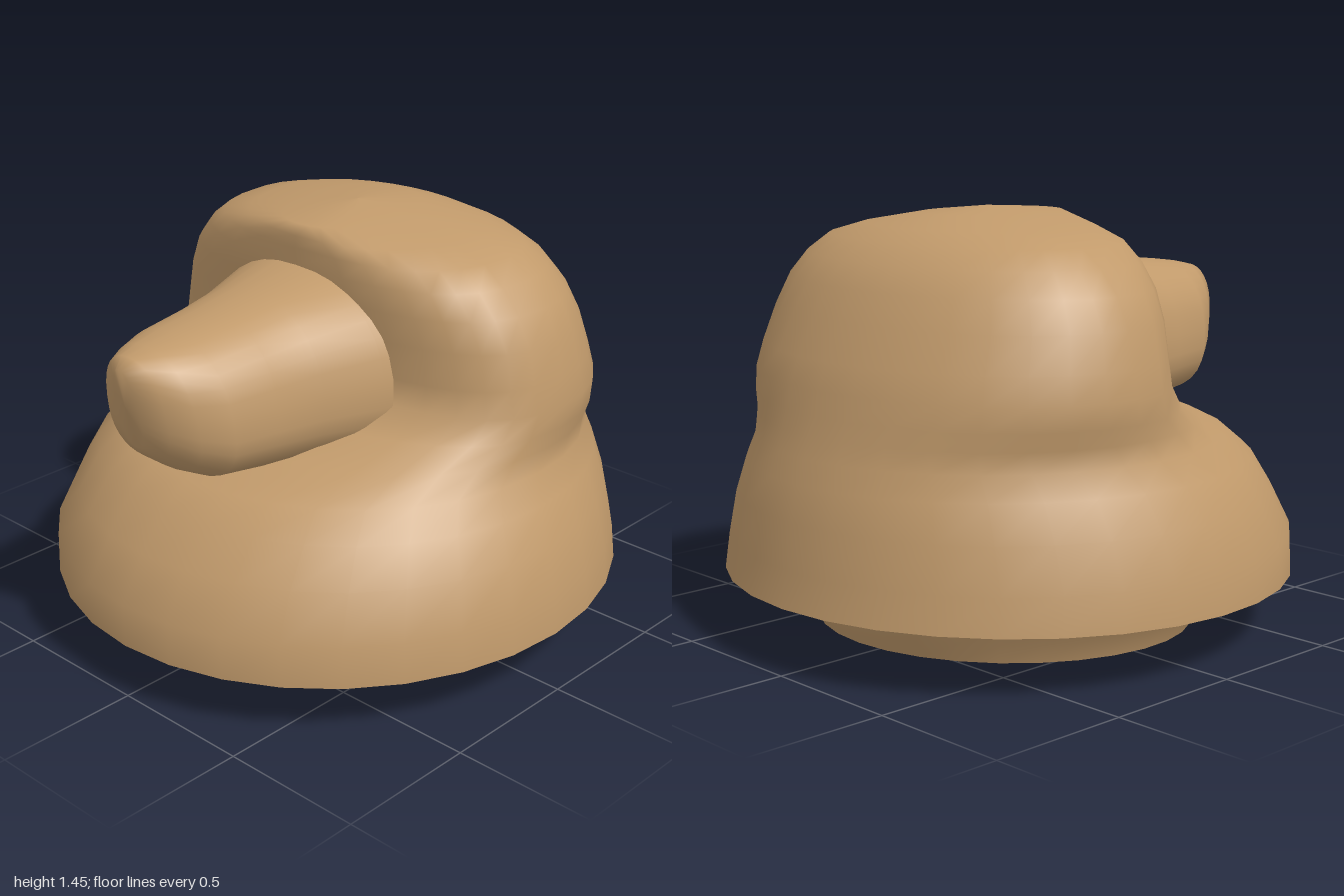
import * as THREE from 'three';

const SEG = 32;

// Smooth skin through a list of closed rings (each an array of SEG points).
// A ring may collapse to a point to close an end.
function loft(name, rings, material) {
  const pos = [], index = [];
  rings.forEach(r => r.forEach(p => pos.push(...p)));
  for (let i = 0; i < rings.length - 1; i++) {
    for (let j = 0; j < SEG; j++) {
      const k = (j + 1) % SEG;
      const a = i * SEG + j, b = i * SEG + k, c = a + SEG, d = b + SEG;
      index.push(a, c, b, b, c, d);
    }
  }
  const g = new THREE.BufferGeometry();
  g.setAttribute('position', new THREE.Float32BufferAttribute(pos, 3));
  g.setIndex(index);
  g.computeVertexNormals();
  const mesh = new THREE.Mesh(g, material);
  mesh.name = name;
  return mesh;
}

const power = (v, n) => Math.sign(v) * Math.pow(Math.abs(v), 2 / n);
const angles = Array.from({ length: SEG }, (_, j) => (j / SEG) * Math.PI * 2);

// Horizontal ring: height, front x, back x, half width, x of widest point,
// squareness of the front half, and tilt of the height along x
function level([y, front, back, half, cx, n = 2, tilt = 0]) {
  return angles.map(t => {
    const c = Math.cos(t), s = Math.sin(t);
    const e = c < 0 ? n : 2;
    const x = cx + power(c, e) * (c < 0 ? cx - front : back - cx);
    return [x, y + tilt * x, power(s, e) * half];
  });
}

// Upright ring across the snout: x at top and bottom, top y, bottom y, half width
function slice([xTop, xBottom, top, bottom, half]) {
  return angles.map(t => {
    const u = power(Math.cos(t), 2.5), f = (u + 1) / 2;
    return [xBottom + (xTop - xBottom) * f, bottom + (top - bottom) * f,
      power(Math.sin(t), 2.3) * half * (1 - 0.12 * u)];
  });
}

export function createModel() {
  const model = new THREE.Group();
  model.name = 'animalHead';
  const fur = new THREE.MeshStandardMaterial({ color: 0xc19a6b });
  fur.name = 'tan fur';

  // Ruff flowing up into the rounded cheeks and crown
  model.add(loft('ruffAndHead', [
    [0.215, -1.0, 0.99, 0.98, 0, 2, 0.015],
    [0.35, -1.0, 0.97, 0.97, 0],
    [0.5, -0.91, 0.95, 0.92, 0.02],
    [0.62, -0.81, 0.92, 0.86, 0.05, 2.1],
    [0.7, -0.71, 0.89, 0.8, 0.1, 2.1],
    [0.77, -0.52, 0.87, 0.795, 0.15, 2.2],
    [0.83, -0.32, 0.85, 0.805, 0.2, 2.4],
    [0.91, -0.2, 0.83, 0.81, 0.22, 2.7],
    [1.0, -0.19, 0.8, 0.79, 0.22, 2.8],
    [1.12, -0.19, 0.74, 0.765, 0.22, 2.8],
    [1.22, -0.2, 0.69, 0.715, 0.22, 2.8],
    [1.3, -0.2, 0.63, 0.645, 0.22, 2.8],
    [1.36, -0.2, 0.55, 0.565, 0.22, 2.7],
    [1.4, -0.2, 0.47, 0.42, 0.2, 2.5],
    [1.44, -0.19, 0.34, 0.2, 0.12, 2.2],
    [1.46, 0.1, 0.1, 0, 0.1],
  ].map(level), fur));

  // Underside of the ruff
  model.add(loft('ruffUnderside', [
    [0.18, -0.73, 0.73, 0.74, 0, 2, 0.01],
    [0.195, -0.87, 0.87, 0.87, 0, 2, 0.012],
    [0.215, -1.0, 0.99, 0.98, 0, 2, 0.015],
  ].map(level), fur));

  // Short neck, cut slightly aslant
  model.add(loft('neck', [
    [0.03, -0.64, 0.68, 0.65, 0, 2, 0.03],
    [0.1, -0.68, 0.71, 0.68, 0, 2, 0.02],
    [0.18, -0.73, 0.73, 0.74, 0, 2, 0.01],
  ].map(level), fur));
  model.add(loft('neckBase', [
    [0.03, 0, 0, 0, 0],
    [0.03, -0.64, 0.68, 0.65, 0, 2, 0.03],
  ].map(level), fur));

  // Blunt snout with a slanting tip
  model.add(loft('snout', [
    [0.1, 0.1, 1.32, 0.66, 0.46],
    [-0.2, -0.2, 1.3, 0.68, 0.4],
    [-0.4, -0.4, 1.265, 0.7, 0.32],
    [-0.57, -0.57, 1.24, 0.72, 0.285],
    [-0.75, -0.72, 1.22, 0.74, 0.26],
    [-0.86, -0.8, 1.205, 0.78, 0.2],
    [-0.93, -0.88, 1.19, 0.84, 0.14],
    [-0.97, -0.91, 1.16, 0.88, 0.05],
    [-0.95, -0.95, 1.03, 1.03, 0],
  ].map(slice), fur));

  return model;
}
